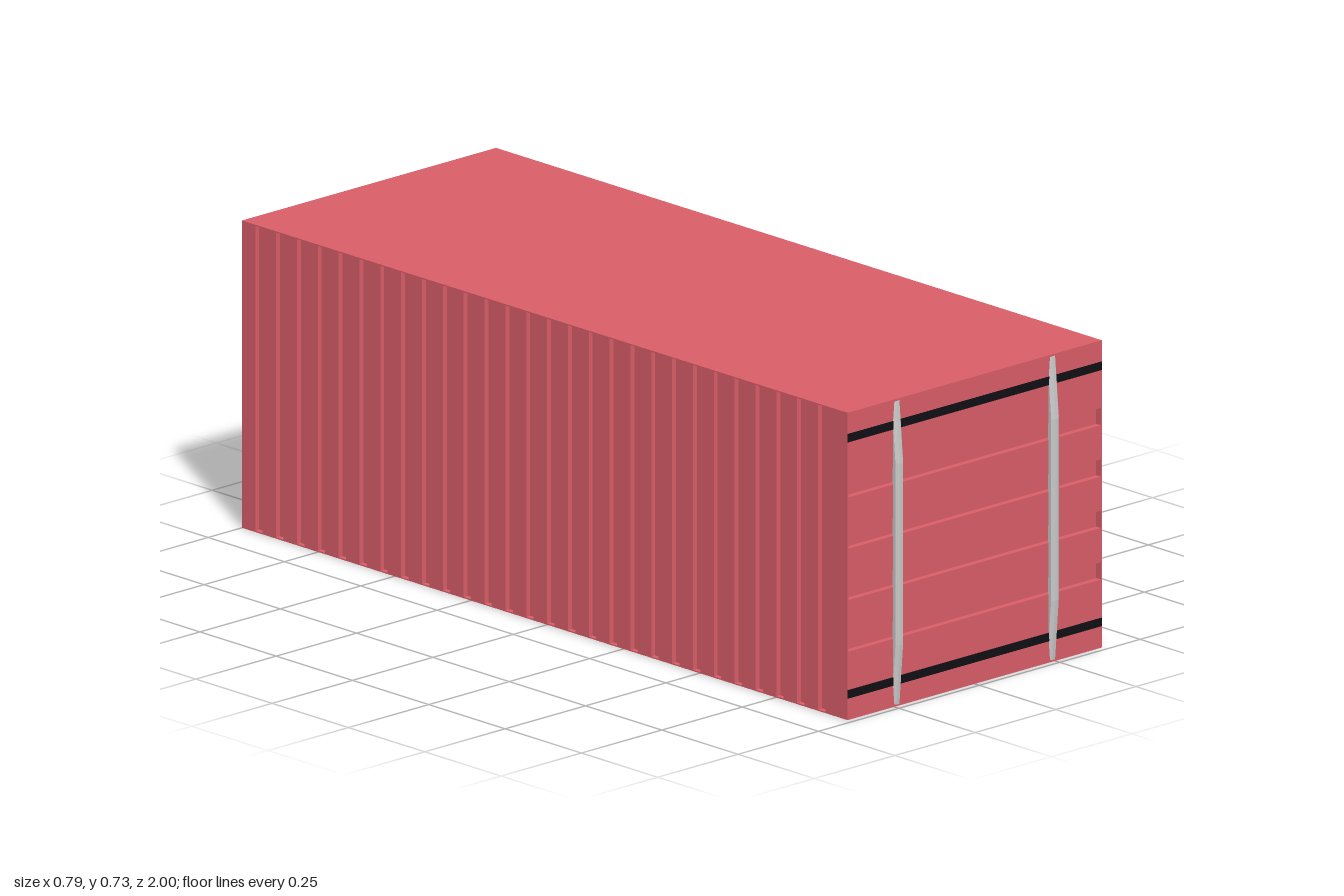
import * as THREE from 'three';

const W = 0.395, H = 0.727, BACK = -1, FRONT = 0.985, SKIN = 0.003;

const paint = new THREE.MeshStandardMaterial({ color: 0xdd5f6a, flatShading: true });
const black = new THREE.MeshStandardMaterial({ color: 0x111115, flatShading: true });
const steel = new THREE.MeshStandardMaterial({ color: 0xcccccc, flatShading: true });

// A straight edge at `face`, cut by square grooves down to `floor`; returns [along, across] points
function groovedEdge(centres, width, face, floor) {
  return centres.flatMap(c => [
    [c - width / 2, face], [c - width / 2, floor],
    [c + width / 2, floor], [c + width / 2, face],
  ]);
}

function extrude(points, depth) {
  const shape = new THREE.Shape(points.map(p => new THREE.Vector2(p[0], p[1])));
  return new THREE.ExtrudeGeometry(shape, { depth, bevelEnabled: false });
}

export function createModel() {
  const group = new THREE.Group();
  const add = (name, geometry, material, x = 0, y = 0, z = 0) => {
    const mesh = new THREE.Mesh(geometry, material);
    mesh.name = name;
    mesh.position.set(x, y, z);
    group.add(mesh);
  };

  // Corrugated side walls and plain back wall, as one plan outline (drawn with -z as plan y)
  const ribs = Array.from({ length: 28 }, (_, i) => -0.9 + i * 0.0683);
  const side = groovedEdge(ribs, 0.024, W, W - 0.012);
  const doorBack = FRONT - 0.025;
  const plan = [
    [W, -doorBack], ...side.map(([a, x]) => [x, a]), [W, -BACK],
    [-W, -BACK], ...side.slice().reverse().map(([a, x]) => [-x, a]), [-W, -doorBack],
  ];
  const walls = extrude(plan, H - 2 * SKIN).rotateX(-Math.PI / 2);
  add('corrugatedWalls', walls, paint, 0, SKIN);

  // Roof and floor plates close the ends of the grooves
  const plate = new THREE.BoxGeometry(2 * W, SKIN, FRONT - BACK);
  const midZ = (FRONT + BACK) / 2;
  add('roof', plate, paint, 0, H - SKIN / 2, midZ);
  add('floor', plate, paint, 0, SKIN / 2, midZ);

  // Front doors with four horizontal grooves, closed at both ends by thin posts
  const bands = [0.182, 0.304, 0.4255, 0.547];
  const profile = [
    [doorBack, SKIN], [FRONT, SKIN],
    ...groovedEdge(bands, 0.041, FRONT, FRONT - 0.015).map(([y, z]) => [z, y]),
    [FRONT, H - SKIN], [doorBack, H - SKIN],
  ];
  const doorWidth = 2 * (W - SKIN);
  const door = extrude(profile, doorWidth).rotateY(-Math.PI / 2);
  add('doors', door, paint, doorWidth / 2);
  const post = new THREE.BoxGeometry(SKIN, H - 2 * SKIN, 0.025);
  for (const s of [-1, 1]) {
    add('doorPost', post, paint, s * (W - SKIN / 2), H / 2, FRONT - 0.0125);
  }

  // Black strips across the doors
  for (const y of [0.061, 0.667]) {
    add('doorStrip', new THREE.BoxGeometry(2 * W, 0.02, 0.002), black, 0, y, FRONT);
  }

  // Eight-sided locking rods, bowed so that the ends sink into the doors
  const rod = new THREE.CylinderGeometry(0.013, 0.013, 0.717, 8, 5, false, Math.PI / 8);
  const pos = rod.attributes.position;
  for (let i = 0; i < pos.count; i++) {
    const u = Math.abs(pos.getY(i)) / 0.3585;
    pos.setZ(i, pos.getZ(i) - 0.012 * Math.max(0, (u - 0.6) / 0.4));
  }
  rod.computeVertexNormals();
  for (const x of [-0.242, 0.242]) add('lockingRod', rod, steel, x, H / 2, 0.988);

  return group;
}
